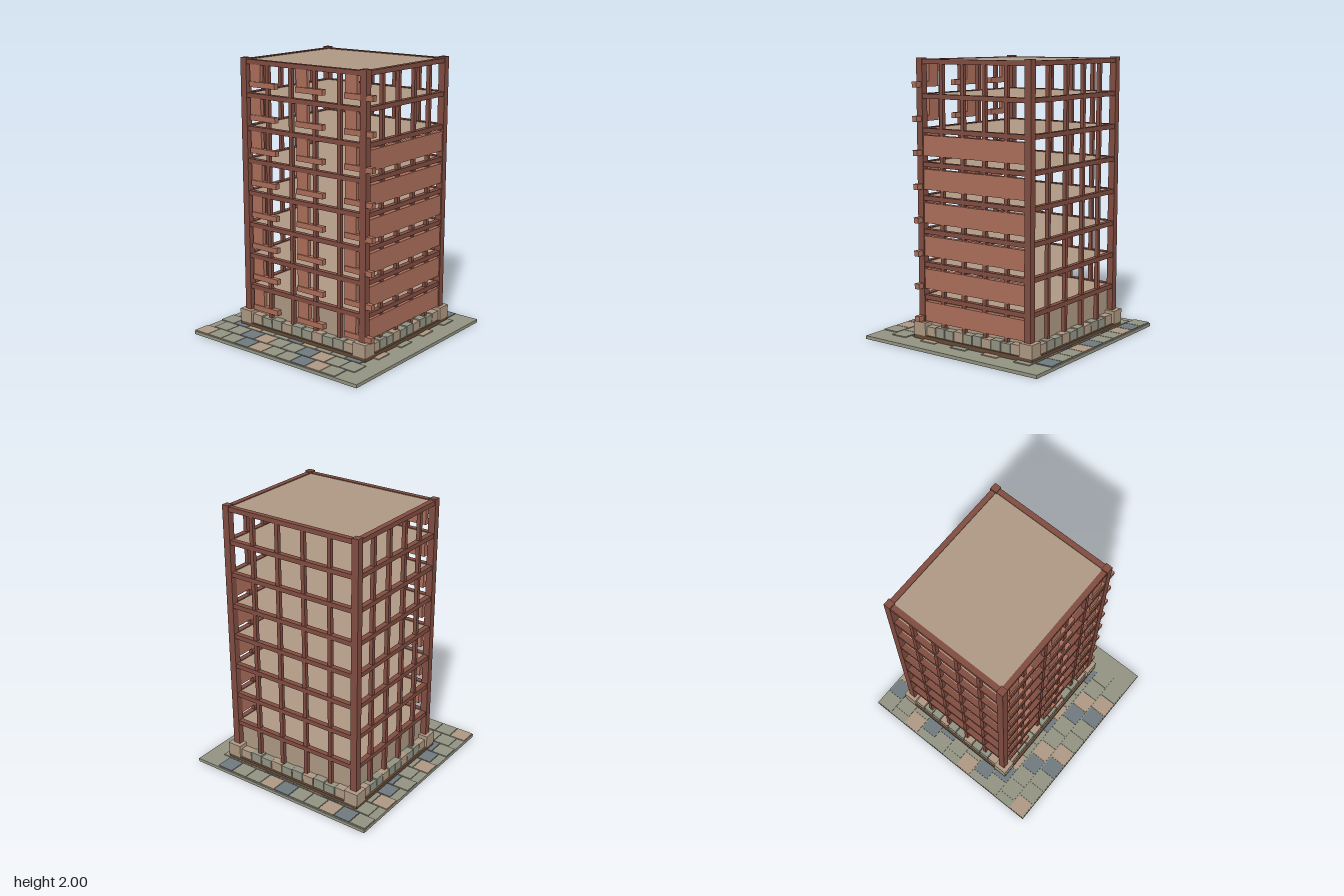
import * as THREE from 'three';

const material = (name, color) => {
  const m = new THREE.MeshStandardMaterial({ color });
  m.name = name;
  return m;
};

export function createModel() {
  const model = new THREE.Group();
  model.name = 'tower';

  const frame = material('dark red frame', 0x804c40);
  const brick = material('brick', 0xaa6d5a);
  const tan = material('tan stone', 0xac9782);
  const green = material('grey green stone', 0x929282);
  const slate = material('slate', 0x6f7a7e);
  const brown = material('brown trim', 0x634936);

  const group = (name) => {
    const g = new THREE.Group();
    g.name = name;
    model.add(g);
    return g;
  };
  // Box given by its minimum and maximum on each axis
  const box = (parent, name, mat, x0, x1, y0, y1, z0, z1) => {
    const mesh = new THREE.Mesh(new THREE.BoxGeometry(x1 - x0, y1 - y0, z1 - z0), mat);
    mesh.position.set((x0 + x1) / 2, (y0 + y1) / 2, (z0 + z1) / 2);
    mesh.name = name;
    parent.add(mesh);
  };

  const X = 0.525, ZF = 0.374, ZB = -0.535;   // centre lines of the four walls
  const FLOORS = 8, PITCH = 0.235, FIRST = 0.312;

  // Ground slab with staggered paving
  const ground = group('ground');
  box(ground, 'groundSlab', green, -0.745, 0.745, 0, 0.024, -0.745, 0.742);
  for (let r = 0; r < 11; r++) {
    for (let c = 0; c < 10; c++) {
      const x = (r % 2 ? -0.68 : -0.742) + c * 0.1306;
      const z = -0.735 + r * 0.1345;
      const k = (c - r + 15) % 4;
      const mat = k === 0 ? slate : k === 1 ? tan : green;
      box(ground, 'pavingTile', mat, x, x + 0.125, 0.022, 0.031, z, z + 0.126);
    }
  }

  // Stone plinth: trim, corner blocks and rows of stones
  const plinth = group('plinth');
  const PX = 0.578, PF = 0.43, PB = -0.592;
  box(plinth, 'baseTrim', brown, -PX + 0.002, PX - 0.002, 0.022, 0.055, PB + 0.002, PF - 0.002);
  for (const x of [-PX, PX - 0.107]) {
    for (const z of [PB, PF - 0.105]) {
      box(plinth, 'cornerBlock', tan, x, x + 0.107, 0.053, 0.148, z, z + 0.105);
    }
  }
  const stones = 10;
  const wx = 0.942 / stones, wz = (PF - PB - 0.21) / stones;
  for (let i = 0; i < stones; i++) {
    const mat = i % 3 === 0 ? tan : green;
    const x = -0.471 + i * wx, z = PB + 0.105 + i * wz;
    const top = i % 2 ? 0.12 : 0.126;
    box(plinth, 'frontStone', mat, x + 0.003, x + wx - 0.003, 0.053, top, 0.35, 0.412);
    box(plinth, 'backStone', mat, x + 0.003, x + wx - 0.003, 0.053, top, -0.574, -0.51);
    box(plinth, 'rightStone', mat, -0.562, -0.5, 0.053, top, z + 0.003, z + wz - 0.003);
    box(plinth, 'leftStone', mat, 0.5, 0.562, 0.053, top, z + 0.003, z + wz - 0.003);
  }

  // Solid ground floor
  box(model, 'groundFloorCore', tan, -0.506, 0.506, 0.03, 0.315, -0.516, 0.356);

  // Corner posts and slim mullions
  const posts = group('posts');
  for (const x of [-X, X]) {
    for (const z of [ZF, ZB]) {
      box(posts, 'cornerPost', frame, x - 0.026, x + 0.026, 0.05, 2, z - 0.025, z + 0.025);
    }
  }
  const M = 0.014;
  for (let i = 1; i < 5; i++) {
    const x = -0.528 + i * 0.2112, z = ZF + (ZB - ZF) * i / 5;
    for (const w of [ZF, ZB]) {
      box(posts, 'mullion', frame, x - M, x + M, 0.1, 1.97, w - M, w + M);
    }
    for (const w of [-X, X]) {
      box(posts, 'sideMullion', frame, w - M, w + M, 0.1, 1.97, z - M, z + M);
    }
  }

  // Each storey: ring of beams, floor slab, front brick brackets, side panel
  for (let i = 0; i < FLOORS; i++) {
    const y = FIRST + i * PITCH;
    const storey = group('storey' + (i + 1));
    for (const z of [ZF, ZB]) {
      box(storey, 'beam', frame, -X, X, y, y + 0.033, z - 0.019, z + 0.019);
    }
    for (const x of [-X, X]) {
      box(storey, 'sideBeam', frame, x - 0.02, x + 0.02, y, y + 0.033, ZB, ZF);
    }
    box(storey, 'floorSlab', tan, -0.51, 0.51, y + 0.008, y + 0.027, -0.52, 0.36);

    const b = y - 0.158;
    for (const x of [-0.474, -0.052, 0.368]) {
      box(storey, 'brickStrip', brick, x, x + 0.097, b + 0.02, y + 0.002, 0.358, 0.388);
      box(storey, 'brickBracket', brick, x, x + 0.234, b, b + 0.039, 0.358, 0.396);
    }
    if (i < 6) {
      box(storey, 'sidePanel', brick, 0.505, 0.543, y - 0.159, y - 0.016, -0.512, 0.352);
    }
  }

  return model;
}
